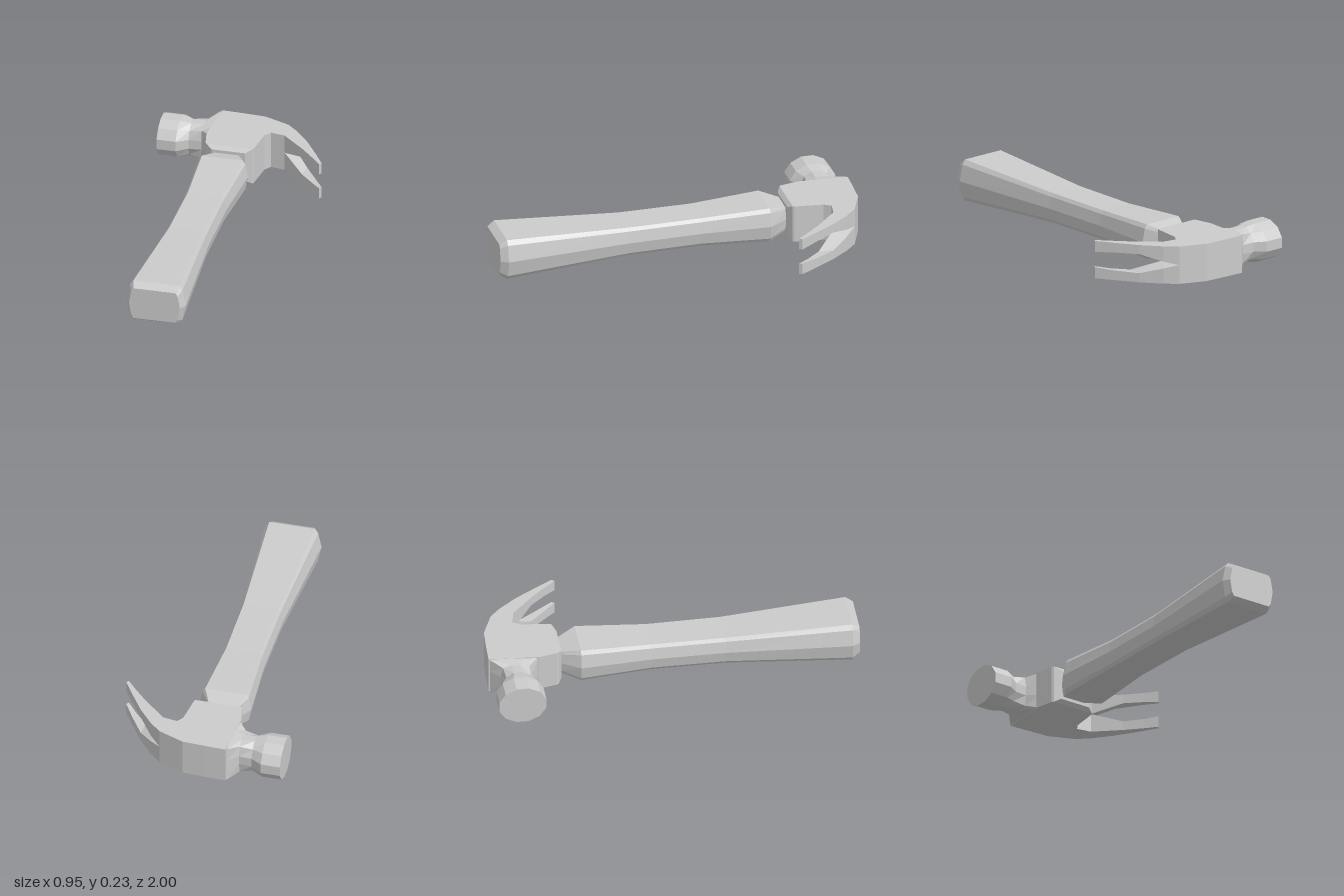
import * as THREE from 'three';

const material = new THREE.MeshStandardMaterial({ color: 0xcccccc, flatShading: true, side: THREE.DoubleSide });
const MID = 0.118; // height of the horizontal symmetry plane
const TOP = 0.222, HALF = TOP - MID;

// Skin a list of rings (arrays of [x, y, z]) and close both ends.
function loft(rings) {
  const tris = [];
  const n = rings[0].length;
  for (let i = 0; i < rings.length - 1; i++) {
    const a = rings[i], b = rings[i + 1];
    for (let k = 0; k < n; k++) {
      const m = (k + 1) % n;
      tris.push([a[k], a[m], b[m]], [a[k], b[m], b[k]]);
    }
  }
  const first = rings[0], last = rings[rings.length - 1];
  for (let k = 1; k < n - 1; k++) {
    tris.push([first[0], first[k + 1], first[k]], [last[0], last[k], last[k + 1]]);
  }
  // Turn the faces outward whichever way the rings run
  let volume = 0;
  for (const [a, b, c] of tris) {
    volume += new THREE.Vector3(...a).dot(new THREE.Vector3(...b).cross(new THREE.Vector3(...c)));
  }
  if (volume < 0) tris.forEach((t) => t.reverse());
  const geometry = new THREE.BufferGeometry();
  geometry.setAttribute('position', new THREE.Float32BufferAttribute(tris.flat(2), 3));
  geometry.computeVertexNormals();
  return geometry;
}

function addPart(parent, name, geometry) {
  const mesh = new THREE.Mesh(geometry, material);
  mesh.name = name;
  parent.add(mesh);
}

// Ten-sided grip section: wide flat top and bottom, chamfer, slightly peaked sides
function gripRing([z, halfWidth, flat, halfHeight]) {
  const shoulder = flat + (halfWidth - flat) * 0.5;
  const right = [[flat, -1], [shoulder, -0.78], [halfWidth, 0], [shoulder, 0.78], [flat, 1]];
  const left = right.map(([x, y]) => [-x, -y]);
  return [...right, ...left].map(([x, y]) => [x - 0.056, MID + y * halfHeight, z]);
}

// Twelve-sided section of the striking end; square = 1 fits it to the head block
function pollRing([x, halfDepth, halfHeight, square]) {
  return Array.from({ length: 12 }, (_, k) => {
    const a = ((k + 0.5) * Math.PI) / 6;
    const c = Math.cos(a), s = Math.sin(a);
    const r = THREE.MathUtils.lerp(1, 1 / Math.max(Math.abs(c), Math.abs(s)), square);
    return [x, MID + s * r * halfHeight, -0.86 + c * r * halfDepth];
  });
}

// Rectangle across z
const boxRing = (z, x0, x1, h) => [[x0, MID - h, z], [x1, MID - h, z], [x1, MID + h, z], [x0, MID + h, z]];

export function createModel() {
  const group = new THREE.Group();
  group.name = 'clawHammer';

  // Handle: z, half width, half width of the flat, half height
  addPart(group, 'handle', loft([
    [1.0, 0.14, 0.115, 0.09],
    [0.96, 0.163, 0.125, 0.115],
    [0.28, 0.12, 0.095, 0.082],
    [-0.12, 0.118, 0.093, 0.081],
    [-0.5, 0.141, 0.112, 0.097],
    [-0.6, 0.078, 0.065, 0.068],
    [-0.64, 0.078, 0.065, 0.068],
  ].map(gripRing)));

  const head = new THREE.Group();
  head.name = 'head';
  group.add(head);

  // Head block: plan outline extruded through its height
  const outline = [
    [-0.18, -1], [-0.07, -0.996], [0.06, -0.988], [0.2, -0.93], [0.21, -0.808], [0.13, -0.822],
    [0.105, -0.785], [0.085, -0.63], [0.08, -0.62], [-0.172, -0.62], [-0.18, -0.63], [-0.2, -0.73],
  ].map(([x, z]) => new THREE.Vector2(x, z));
  const block = new THREE.ExtrudeGeometry(new THREE.Shape(outline), { depth: HALF * 2, bevelEnabled: false });
  block.rotateX(Math.PI / 2).translate(0, TOP, 0);
  addPart(head, 'headBlock', block);

  // Chamfered collar where the handle enters the head
  addPart(head, 'collar', loft([boxRing(-0.62, -0.172, 0.08, HALF), boxRing(-0.6, -0.14, 0.045, 0.085)]));

  // Striking end: x, half depth, half height, squareness
  addPart(head, 'poll', loft([
    [-0.475, 0.131, 0.111, 0],
    [-0.37, 0.131, 0.111, 0],
    [-0.31, 0.09, 0.1, 0],
    [-0.24, 0.084, 0.097, 0.5],
    [-0.185, 0.134, HALF - 0.001, 1],
  ].map(pollRing)));

  // Claw prongs: back edge x, z, front edge x, z, half gap between prongs
  const stations = [
    [0.2, -0.93, 0.21, -0.808, 0],
    [0.262, -0.872, 0.255, -0.765, 0.019],
    [0.342, -0.772, 0.335, -0.69, 0.053],
    [0.42, -0.65, 0.41, -0.608, 0.05],
    [0.474, -0.56, 0.463, -0.545, 0.042],
  ];
  for (const [name, side] of [['upperProng', 1], ['lowerProng', -1]]) {
    addPart(head, name, loft(stations.map(([bx, bz, fx, fz, gap]) => {
      const outer = MID + side * HALF, inner = MID + side * gap;
      return [[bx, outer, bz], [fx, outer, fz], [fx, inner, fz], [bx, inner, bz]];
    })));
  }
  return group;
}
